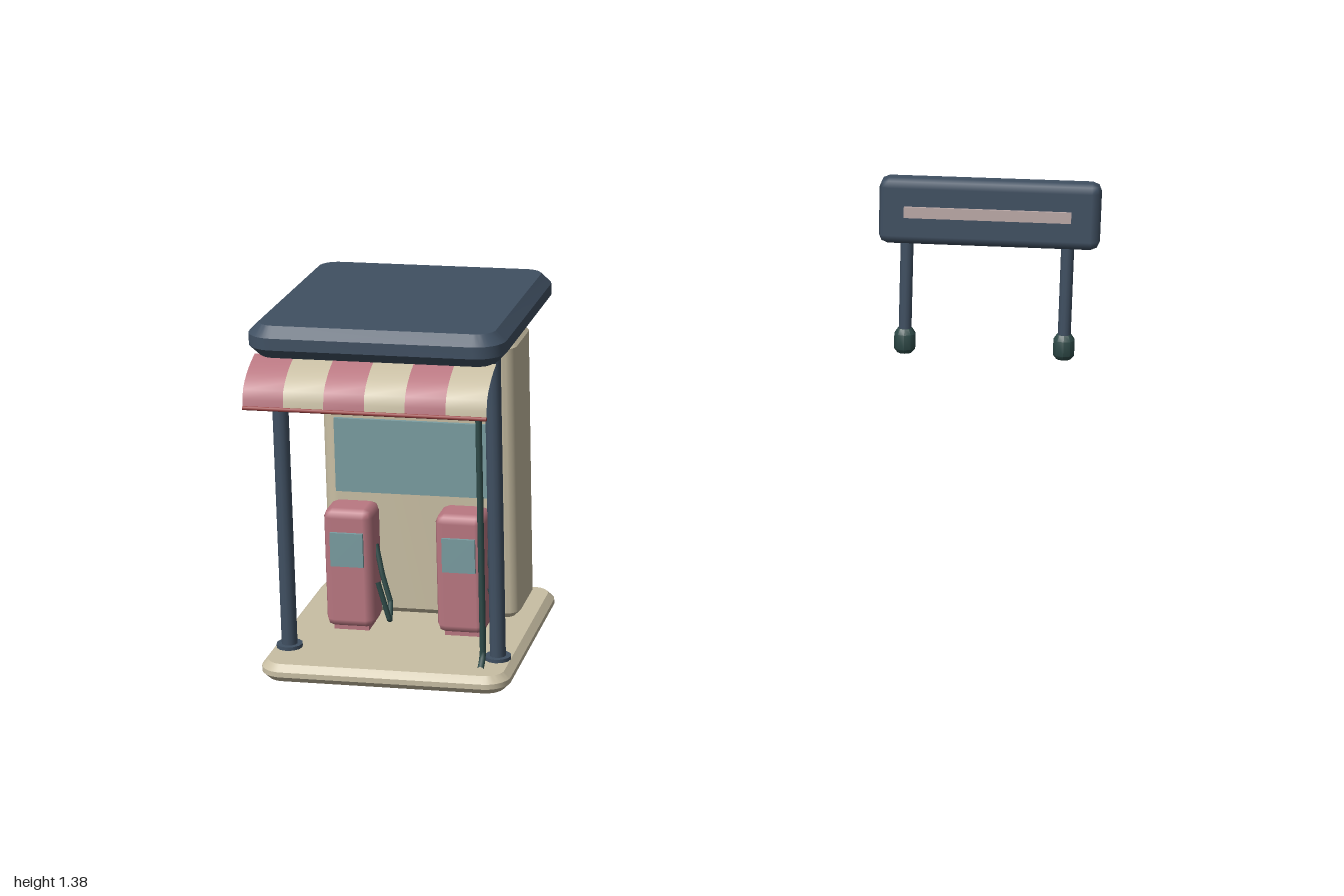
import * as THREE from 'three';
import { toCreasedNormals } from 'three/addons/utils/BufferGeometryUtils.js';
import { RoundedBoxGeometry } from 'three/addons/geometries/RoundedBoxGeometry.js';

const mat = (name, color, side = THREE.FrontSide) => {
  const m = new THREE.MeshStandardMaterial({ color, side });
  m.name = name;
  return m;
};

// Slab with rounded plan corners and chamfered top and bottom edges
function slab(x0, x1, y0, y1, z0, z1, radius, bevel) {
  const w = (x1 - x0) / 2 - bevel, d = (z1 - z0) / 2 - bevel, r = radius - bevel;
  const s = new THREE.Shape();
  s.absarc(w - r, d - r, r, 0, Math.PI / 2);
  s.absarc(-w + r, d - r, r, Math.PI / 2, Math.PI);
  s.absarc(-w + r, -d + r, r, Math.PI, Math.PI * 1.5);
  s.absarc(w - r, -d + r, r, Math.PI * 1.5, Math.PI * 2);
  const g = new THREE.ExtrudeGeometry(s, {
    depth: y1 - y0 - 2 * bevel, bevelThickness: bevel, bevelSize: bevel, bevelSegments: 1, curveSegments: 5,
  });
  g.rotateX(-Math.PI / 2);
  g.translate((x0 + x1) / 2, y0 + bevel, (z0 + z1) / 2);
  return toCreasedNormals(g, 0.6);
}

function box(x0, x1, y0, y1, z0, z1) {
  return new THREE.BoxGeometry(x1 - x0, y1 - y0, z1 - z0)
    .translate((x0 + x1) / 2, (y0 + y1) / 2, (z0 + z1) / 2);
}

function chamferBox(x0, x1, y0, y1, z0, z1, r) {
  return new RoundedBoxGeometry(x1 - x0, y1 - y0, z1 - z0, 1, r)
    .translate((x0 + x1) / 2, (y0 + y1) / 2, (z0 + z1) / 2);
}

function rod(x, y0, y1, z, r, sides = 12) {
  return new THREE.CylinderGeometry(r, r, y1 - y0, sides).translate(x, (y0 + y1) / 2, z);
}

// Round tube along straight runs between points
function pipe(points, r, sides = 8) {
  const path = new THREE.CurvePath();
  const v = points.map(p => new THREE.Vector3(...p));
  for (let i = 1; i < v.length; i++) path.add(new THREE.LineCurve3(v[i - 1], v[i]));
  return new THREE.TubeGeometry(path, 32, r, sides);
}

export function createModel() {
  const root = new THREE.Group();
  root.name = 'fuelStation';
  const navy = mat('navy', 0x405062);
  const cream = mat('cream', 0xc9bfa4);
  const pink = mat('pink', 0xba7882);
  const glass = mat('glass', 0x7a9da1);
  const green = mat('darkGreen', 0x2e4a48);
  const red = mat('redTrim', 0x9a4444);
  const pale = mat('paleRose', 0xbdaaa8);
  const awningPink = mat('awningPink', 0xba7882, THREE.DoubleSide);
  const awningCream = mat('awningCream', 0xc9bfa4, THREE.DoubleSide);

  const add = (name, geometry, material, parent = root) => {
    const m = new THREE.Mesh(geometry, material);
    m.name = name;
    parent.add(m);
    return m;
  };

  // Forecourt, kiosk and roof
  add('base', slab(-1, -0.377, 0, 0.045, -0.47, 0.19, 0.06, 0.016), cream);
  add('kiosk', slab(-0.93, -0.43, 0.04, 0.777, -0.432, -0.21, 0.04, 0.02), cream);
  add('kioskWindow', box(-0.893, -0.483, 0.37, 0.563, -0.215, -0.2), glass);
  add('canopy', slab(-1, -0.375, 0.823, 0.902, -0.48, 0.195, 0.07, 0.025), navy);
  add('canopyCeiling', box(-0.95, -0.425, 0.817, 0.825, -0.42, 0.14), navy);

  // Roof posts with floor flanges
  for (const x of [-0.953, -0.425]) {
    add('post', rod(x, 0.04, 0.83, 0.055, 0.02), navy);
    add('postFlange', rod(x, 0.044, 0.054, 0.055, 0.033), navy);
  }

  // Downpipe kicking forward at the ground
  add('downpipe', pipe([[-0.452, 0.825, 0.1], [-0.452, 0.07, 0.1], [-0.452, 0.046, 0.13]], 0.008), green);

  // Ceiling lamps above the pumps
  for (const x of [-0.83, -0.545]) {
    add('lampRim', rod(x, 0.813, 0.82, 0, 0.035, 16), navy);
    add('lampLens', rod(x, 0.809, 0.815, 0, 0.029, 16), cream);
  }

  // Fuel pumps, each with a display and a hose on its left side
  for (const x of [-0.83, -0.545]) {
    const pump = new THREE.Group();
    pump.name = 'pump';
    pump.position.x = x;
    root.add(pump);
    add('pumpBody', chamferBox(-0.062, 0.062, 0.055, 0.367, -0.168, -0.06, 0.022), pink, pump);
    add('pumpFoot', box(-0.045, 0.045, 0.04, 0.06, -0.15, -0.08), pink, pump);
    add('pumpDisplay', box(-0.042, 0.042, 0.222, 0.31, -0.062, -0.052), glass, pump);
    add('hose', pipe([[0.06, 0.265, -0.115], [0.078, 0.19, -0.1], [0.1, 0.12, -0.09],
      [0.108, 0.087, -0.046], [0.08, 0.19, -0.046]], 0.007), green, pump);
  }

  // Striped awning swept from a curved profile of (z, y)
  const profile = new THREE.SplineCurve([[0.15, 0.826], [0.185, 0.815], [0.222, 0.797], [0.256, 0.768], [0.265, 0.725]]
    .map(p => new THREE.Vector2(...p)));
  const x0 = -0.982, stripe = 0.0978, rows = 8;
  for (let i = 0; i < 6; i++) {
    const g = new THREE.PlaneGeometry(stripe, 1, 1, rows);
    const pos = g.attributes.position;
    for (let k = 0; k < pos.count; k++) {
      const p = profile.getPoint(0.5 - pos.getY(k));
      pos.setXYZ(k, x0 + stripe * (i + 0.5) + pos.getX(k), p.y, p.x);
    }
    g.computeVertexNormals();
    add('awningStripe', g, i % 2 ? awningCream : awningPink);
  }
  add('awningTrim', new THREE.CylinderGeometry(0.005, 0.005, stripe * 6, 8)
    .rotateZ(Math.PI / 2).translate(x0 + stripe * 3, 0.725, 0.265), red);

  // Free-standing sign on two legs
  const sign = new THREE.Group();
  sign.name = 'sign';
  root.add(sign);
  add('signBoard', chamferBox(0.525, 1, 1.23, 1.375, 0.408, 0.474, 0.02), navy, sign);
  add('signStripe', box(0.58, 0.938, 1.292, 1.316, 0.472, 0.481), pale, sign);
  for (const x of [0.586, 0.932]) {
    add('signLeg', rod(x, 1.02, 1.24, 0.442, 0.014), navy, sign);
    const foot = [[0, 0.982], [0.016, 0.982], [0.024, 0.992], [0.024, 1.025], [0.016, 1.037], [0, 1.037]];
    const g = new THREE.LatheGeometry(foot.map(p => new THREE.Vector2(...p)), 10);
    add('signFoot', toCreasedNormals(g, 0.7).translate(x, 0, 0.442), green, sign);
  }
  return root;
}
